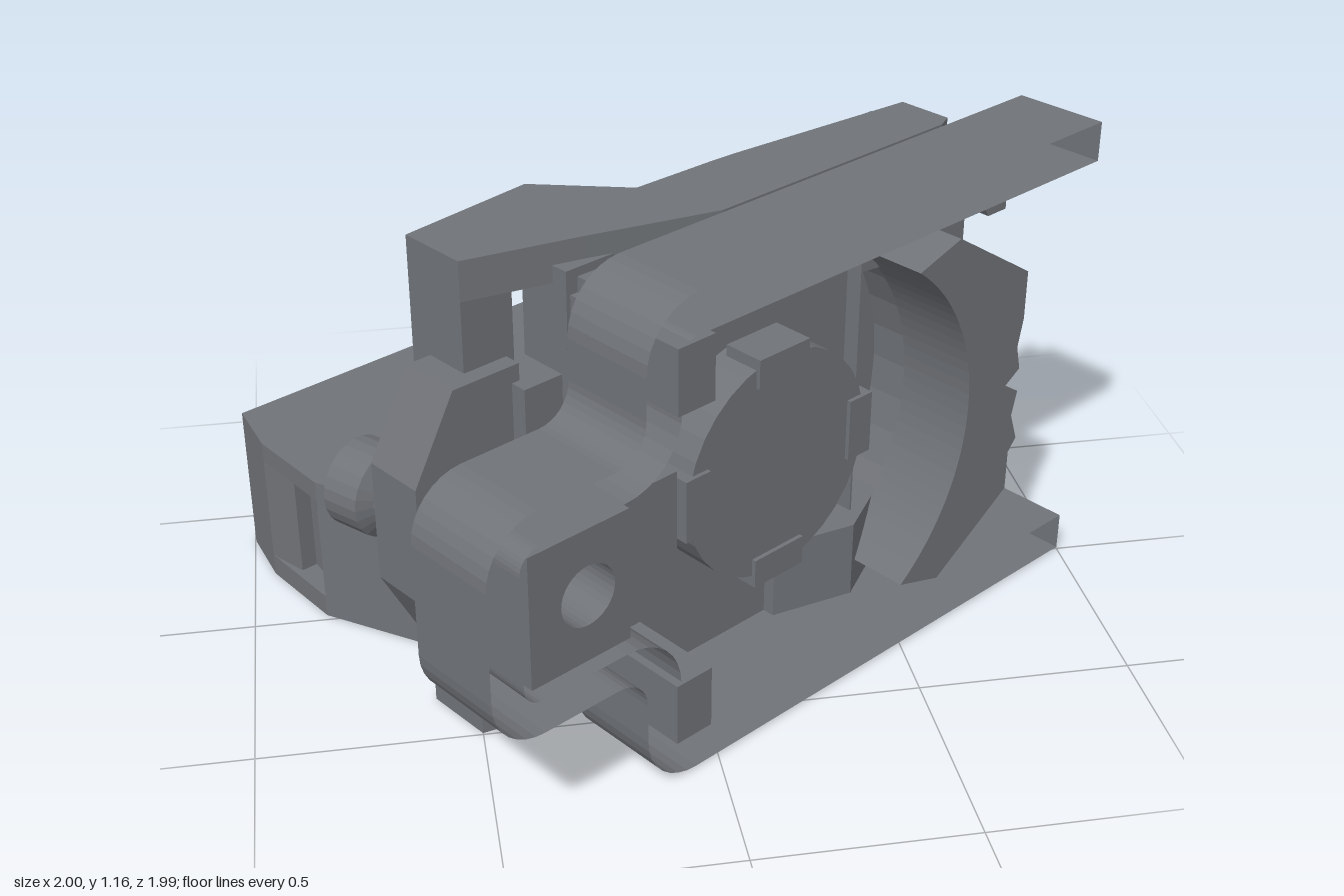
import * as THREE from 'three';

const MID = 0.59; // mirror height of the collar
const HUB = -0.08; // x of the hub axis

export function createModel() {
  const root = new THREE.Group();
  root.name = 'contactAssembly';
  const body = new THREE.Group();
  body.name = 'mountedSwitch';
  body.rotation.y = 0.58;
  root.add(body);
  const mat = new THREE.MeshStandardMaterial({ color: 0x707378 });
  const thinMat = new THREE.MeshStandardMaterial({ color: 0x707378, side: THREE.DoubleSide });

  const add = (name, geo, material = mat) => {
    const m = new THREE.Mesh(geo, material);
    m.name = name;
    body.add(m);
  };
  // box from its limits
  const box = (name, x0, x1, y0, y1, z0, z1) =>
    add(name, new THREE.BoxGeometry(x1 - x0, y1 - y0, z1 - z0)
      .translate((x0 + x1) / 2, (y0 + y1) / 2, (z0 + z1) / 2));
  // upright outline pushed from z0 to z1
  const push = (shape, z0, z1) =>
    new THREE.ExtrudeGeometry(shape, { depth: z1 - z0, bevelEnabled: false, curveSegments: 16 }).translate(0, 0, z0);
  const slab = (name, shape, z0, z1) => add(name, push(shape, z0, z1));
  // plan outline of [x, z] points pushed from y0 to y1
  const plan = (name, pts, y0, y1) => {
    const s = new THREE.Shape(pts.map(([x, z]) => new THREE.Vector2(x, -z)));
    add(name, new THREE.ExtrudeGeometry(s, { depth: y1 - y0, bevelEnabled: false })
      .rotateX(-Math.PI / 2).translate(0, y0, 0));
  };
  const poly = (pts) => new THREE.Shape(pts.map(([x, y]) => new THREE.Vector2(x, y)));
  const circle = (x, y, r) => new THREE.Path().absarc(x, y, r, 0, Math.PI * 2, true);
  const disc = (x, y, r) => new THREE.Shape().absarc(x, y, r, 0, Math.PI * 2, false);

  // front clamp frame: U-shaped channel with a looped tab, open to the front
  const arcPts = (cx, cy, r, a0, a1) => Array.from({ length: 9 }, (_, i) => {
    const a = (a0 + (a1 - a0) * i / 8) * Math.PI / 180;
    return [cx + r * Math.cos(a), cy + r * Math.sin(a)];
  });
  const mirrorY = (pts) => pts.map(([x, y]) => [x, 2 * MID - y]).reverse();
  const outer = [[0.836, 1.165], ...arcPts(-0.425, 1.025, 0.14, 90, 180),
    ...arcPts(-0.645, 0.93, 0.08, 0, -90), ...arcPts(-0.84, 0.72, 0.13, 90, 180)];
  const inner = [[0.836, 1.07], ...arcPts(-0.43, 1.03, 0.04, 90, 180),
    ...arcPts(-0.62, 0.92, 0.15, 0, -90), ...arcPts(-0.84, 0.72, 0.05, 90, 180)];
  const frame = poly([...outer, ...mirrorY(outer), ...[...inner, ...mirrorY(inner)].reverse()]);
  const channel = push(frame, 0.318, 0.548);
  const sideStart = channel.groups[1].start;
  const walls = new THREE.BufferGeometry();
  for (const key of ['position', 'normal'])
    walls.setAttribute(key, new THREE.BufferAttribute(channel.attributes[key].array.slice(sideStart * 3), 3));
  add('clampFrameWalls', walls, thinMat);
  slab('clampFrameBack', frame, 0.318, 0.322);

  // threaded block held inside the tab
  const nut = poly([[-0.86, 0.435], [-0.6, 0.435], [-0.6, 0.745], [-0.86, 0.745]]);
  nut.holes.push(circle(-0.71, MID, 0.07));
  slab('threadedBlock', nut, 0.33, 0.535);
  box('threadedBlockBack', -0.86, -0.6, 0.435, 0.745, 0.3, 0.4);
  box('threadedBlockBridge', -0.6, -0.42, 0.45, 0.73, 0.3, 0.48);

  // rear collar plate with keyed opening
  const rear = poly([[-0.5, 0.02], [0.59, 0.02], [0.59, 1.12], [-0.5, 1.12]]);
  const a = Math.acos(0.13 / 0.28);
  const hole = new THREE.Path();
  hole.moveTo(HUB + 0.15, 1.06);
  hole.lineTo(HUB + 0.15, MID + 0.28 * Math.sin(a));
  hole.absarc(HUB + 0.02, MID, 0.28, a, Math.PI - a, true);
  hole.lineTo(HUB - 0.11, 1.06);
  rear.holes.push(hole, circle(-0.43, 0.78, 0.035), circle(-0.43, 0.4, 0.035));
  slab('rearPlate', rear, 0.1, 0.24);
  const pad = poly([[0.24, 0.02], [0.59, 0.02], [0.59, 1.12], [0.24, 1.12]]);
  pad.holes.push(circle(0.5, 1.0, 0.035));
  slab('rearPad', pad, 0.07, 0.11);
  for (const s of [-1, 1]) {
    // guide lugs beside the opening
    const x = HUB + s * 0.38;
    box('guideLug', x - 0.06, x + 0.06, 0.48, 0.52, 0.05, 0.12);
    box('guideLug', x - 0.06, x + 0.06, 0.66, 0.7, 0.05, 0.12);
    box('guideLug', x + s * 0.02, x + s * 0.06, 0.52, 0.66, 0.05, 0.12);
    box('openingKey', HUB - 0.07, HUB + 0.11, MID + s * 0.15 - 0.11, MID + s * 0.15 + 0.11, 0.2, 0.25);
    // raised left walls of the collar
    box('collarWall', -0.49, -0.39, MID + s * 0.4 - 0.075, MID + s * 0.4 + 0.075, 0.24, 0.557);
  }

  // front face of the collar and the raised hub
  slab('collarFace', poly([[-0.47, 0.05], [0.24, 0.05], [0.24, 1.1], [-0.47, 1.1]]), 0.23, 0.33);
  slab('hub', disc(HUB, MID, 0.27), 0.3, 0.44);
  for (let i = 0; i < 4; i++) {
    add('hubKey', new THREE.BoxGeometry(0.15, 0.07, 0.1).translate(0, 0.25, 0.4)
      .rotateZ(i * Math.PI / 2).translate(HUB, MID, 0));
  }

  // right rim: curved inner wall, sloped ends and a notched outer edge
  const t = Math.asin(0.4 / 0.5);
  const edge = [[0.35, 0.15], [0.585, 0.3], [0.585, 0.4], [0.61, 0.43], [0.585, 0.5],
    [0.6, 0.56], [0.55, MID], [0.6, 0.62], [0.585, 0.68], [0.6, 0.75], [0.6, 0.87], [0.35, 1.03]];
  const rim = new THREE.Shape();
  rim.moveTo(HUB + 0.5 * Math.cos(t), MID - 0.4);
  for (const [x, y] of edge) rim.lineTo(x, y);
  rim.lineTo(HUB + 0.5 * Math.cos(t), MID + 0.4);
  rim.absarc(HUB, MID, 0.5, t, -t, true);
  slab('curvedRim', rim, 0.36, 0.555);
  // lower step of the rim
  const step = poly([[0.24, 0.1], [0.59, 0.1], [0.59, 1.08], [0.24, 1.08]]);
  step.holes.push(new THREE.Path([[0.24 + 0.005, 0.26], ...arcPts(HUB, MID, 0.53, -37, 37), [0.245, 0.92]]
    .map(([x, y]) => new THREE.Vector2(x, y))));
  slab('rimStep', step, 0.23, 0.37);

  // screw sleeves at the rim corners
  for (const [x, y] of [[0.42, 1.03], [0.54, 0.15]]) {
    const s = disc(x, y, 0.1);
    s.holes.push(circle(x, y, 0.065));
    slab('screwSleeve', s, 0.22, 0.41);
  }
  // ramp leading into the recess
  plan('lowerRamp', [[0.0, 0.2], [0.5, 0.2], [0.5, 0.28], [0.2, 0.42], [0.0, 0.36]], 0.1, 0.3);

  // side lugs
  const lug = poly([[0.56, 0.92], [0.74, 0.92], [0.77, 0.87], [0.835, 0.87], [0.835, 1.12], [0.56, 1.12]]);
  lug.holes.push(new THREE.Path([[0.64, 0.94], [0.64, 1.06], [0.77, 1.06], [0.77, 0.94]]
    .map(([x, y]) => new THREE.Vector2(x, y))));
  slab('hookLug', lug, 0.25, 0.3);
  box('lowerLug', 0.55, 0.655, 0.03, 0.38, 0.06, 0.26);
  box('lowerLugTip', 0.6, 0.7, 0.05, 0.24, 0.18, 0.28);

  // top and bottom arms joining the collar to the side post
  const armLeft = [[-0.69, -0.03], [-0.353, -0.064], [-0.193, 0.112], [0.031, 0.116]];
  const armFront = [[0.55, 0.318], [-0.14, 0.318], [-0.43, 0.22], [-0.69, 0.14]];
  plan('topArm', [...armLeft, [0.1, 0.12], [0.59, 0.165], [0.59, 0.3], ...armFront], 1.08, 1.17);
  plan('bottomArm', [...armLeft, [0.084, 0.058], [0.655, 0.059], [0.655, 0.26], ...armFront], 0.01, 0.12);
  box('sidePost', -0.69, -0.56, 0.01, 1.17, -0.03, 0.14);
  box('sideWeb', -0.6, -0.46, 0.1, 0.88, 0.04, 0.22);
  slab('screwBracket', poly([[-0.855, 0.45], [-0.75, 0.25], [-0.58, 0.25], [-0.58, 0.92],
    [-0.75, 0.92], [-0.855, 0.73]]), 0.03, 0.18);

  // clamping screw, slightly tilted
  const profile = [[0, 0], [0.1, 0], [0.1, 0.09], [0.065, 0.11], [0.065, 0.15], [0.085, 0.16], [0.085, 0.5], [0, 0.5]];
  const screw = new THREE.LatheGeometry(profile.map(([x, y]) => new THREE.Vector2(x, y)), 24).toNonIndexed();
  screw.rotateX(Math.PI / 2).rotateY(0.19).translate(-0.786, MID, -0.133);
  screw.computeVertexNormals();
  add('clampScrew', screw);

  // contact block: two covers around a recessed core
  const block = [[-0.628, -0.863], [0.42, -0.863], [0.45, -0.75], [0.568, -0.7], [0.565, -0.05], [0.5, 0.055],
    [-0.22, 0.055], [-0.23, -0.09], [-0.533, -0.098], [-0.683, -0.47], [-0.674, -0.705]];
  plan('blockBase', block, 0.01, 0.065);
  plan('blockCover', block, 0.335, 0.385);
  plan('blockCore', [[-0.6, -0.72], [0.5, -0.72], [0.5, 0.08], [-0.2, 0.08], [-0.22, -0.11], [-0.5, -0.11], [-0.64, -0.47]],
    0.05, 0.35);
  plan('blockRightCheek', [[0.44, -0.863], [0.506, -0.863], [0.568, -0.7], [0.565, -0.47], [0.44, -0.47]], 0.06, 0.335);
  plan('blockRightPost', [[0.44, -0.09], [0.565, -0.09], [0.565, -0.03], [0.5, 0.055], [0.44, 0.055]], 0.06, 0.335);
  plan('blockLeftCheek', [[-0.628, -0.863], [-0.55, -0.863], [-0.55, -0.6], [-0.66, -0.6], [-0.674, -0.705]], 0.06, 0.335);
  plan('blockLeftPost', [[-0.683, -0.47], [-0.6, -0.47], [-0.48, -0.11], [-0.533, -0.098], [-0.64, -0.36]], 0.06, 0.335);
  for (const x of [-0.16, 0.13]) box('terminalWall', x - 0.045, x + 0.045, 0.06, 0.335, -0.855, -0.7);
  box('middleInsert', -0.13, 0.09, 0.06, 0.27, -0.81, -0.7);

  // terminal screws with crossed slots
  for (const x of [-0.36, 0.31]) {
    slab('terminalScrew', disc(x, 0.2, 0.11), -0.81, -0.7);
    const head = disc(x, 0.2, 0.11);
    const l = 0.08, w = 0.016;
    head.holes.push(new THREE.Path([[w, w], [w, l], [-w, l], [-w, w], [-l, w], [-l, -w], [-w, -w], [-w, -l],
      [w, -l], [w, -w], [l, -w], [l, w]].map(([u, v]) => new THREE.Vector2(x + u, 0.2 + v))));
    slab('terminalScrewHead', head, -0.85, -0.8);
  }
  return root;
}
